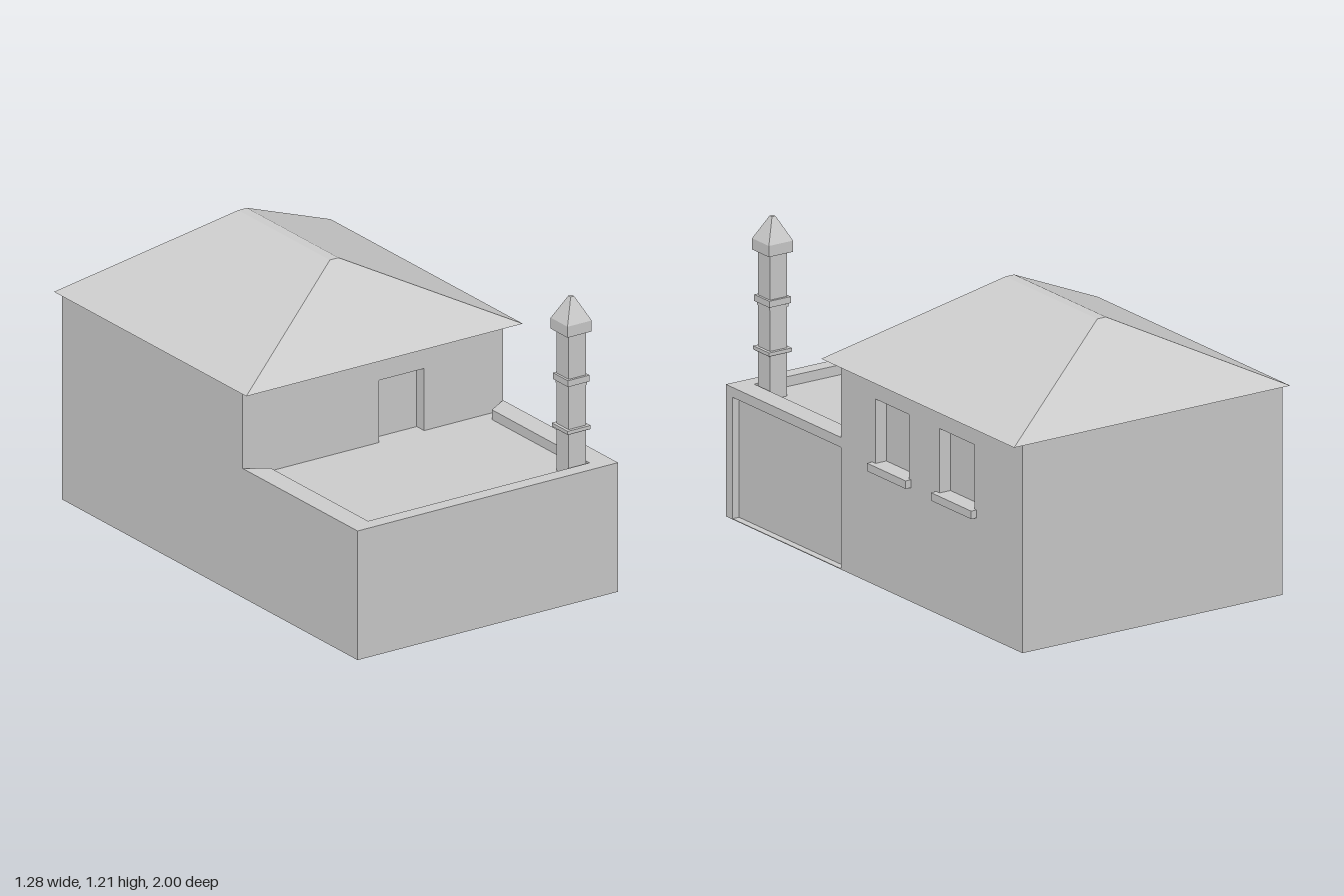
import * as THREE from 'three';

const material = new THREE.MeshStandardMaterial({ color: 0xcccccc, flatShading: true });

function add(parent, name, geometry) {
  const mesh = new THREE.Mesh(geometry, material);
  mesh.name = name;
  parent.add(mesh);
  return mesh;
}

// Box given by its limits on each axis
function block(parent, name, x0, x1, y0, y1, z0, z1) {
  const g = new THREE.BoxGeometry(x1 - x0, y1 - y0, z1 - z0);
  g.translate((x0 + x1) / 2, (y0 + y1) / 2, (z0 + z1) / 2);
  return add(parent, name, g);
}

// Solid lofted through rectangles [y, x0, x1, z0, z1], bottom to top
function loft(rings) {
  const pos = [], idx = [];
  for (const [y, x0, x1, z0, z1] of rings) {
    pos.push(x0, y, z1, x1, y, z1, x1, y, z0, x0, y, z0);
  }
  for (let r = 0; r < rings.length - 1; r++) {
    for (let i = 0; i < 4; i++) {
      const a = r * 4 + i, b = r * 4 + (i + 1) % 4;
      idx.push(a, b, b + 4, a, b + 4, a + 4);
    }
  }
  const t = (rings.length - 1) * 4;
  idx.push(0, 2, 1, 0, 3, 2, t, t + 1, t + 2, t, t + 2, t + 3);
  const indexed = new THREE.BufferGeometry();
  indexed.setAttribute('position', new THREE.Float32BufferAttribute(pos, 3));
  indexed.setIndex(idx);
  const g = indexed.toNonIndexed();
  g.computeVertexNormals();
  return g;
}

const outline = (points) => points.map(([x, y]) => new THREE.Vector2(x, y));
const rect = (x0, x1, y0, y1) => outline([[x0, y0], [x1, y0], [x1, y1], [x0, y1]]);

function extrude(points, holes, depth) {
  const shape = new THREE.Shape(points);
  for (const h of holes) shape.holes.push(new THREE.Path(h));
  return new THREE.ExtrudeGeometry(shape, { depth, bevelEnabled: false });
}

export function createModel() {
  const model = new THREE.Group();
  model.name = 'house';

  // Main house: core plus pierced outer walls, so openings are recessed
  const house = new THREE.Group();
  house.name = 'mainHouse';
  model.add(house);
  const depth = 0.05;
  block(house, 'houseCore', -0.625, 0.53, 0, 0.845, -0.97, 0.185);

  const front = extrude(rect(-0.625, 0.53, 0, 0.845), [rect(0.005, 0.215, 0.49, 0.745)], depth);
  front.translate(0, 0, 0.185);
  add(house, 'frontWallWithDoorway', front);

  const windows = [[-0.005, 0.215], [0.42, 0.65]]; // measured along -z
  const side = extrude(rect(-0.235, 0.97, 0, 0.845),
    windows.map(([a, b]) => rect(a, b, 0.475, 0.748)), depth);
  side.rotateY(Math.PI / 2);
  side.translate(0.53, 0, 0);
  add(house, 'sideWallWithWindows', side);
  for (const [a, b] of windows) {
    block(house, 'windowSill', 0.53, 0.605, 0.458, 0.49, -b - 0.015, -a + 0.022);
  }

  // Hipped roof with a narrow flat ridge
  add(model, 'roof', loft([
    [0.845, -0.64, 0.64, -1, 0.28],
    [1.148, -0.02, 0.02, -0.665, -0.055],
  ]));

  // Front wing with a recessed panel on its side
  const wing = new THREE.Group();
  wing.name = 'frontWing';
  model.add(wing);
  block(wing, 'terraceBase', -0.625, 0.55, 0, 0.49, 0.235, 1);
  block(wing, 'cornerPost', 0.55, 0.58, 0, 0.49, 0.955, 1);
  block(wing, 'recessFloor', 0.55, 0.58, 0, 0.003, 0.235, 0.955);

  // Parapet around three sides of the terrace
  const parapet = extrude(outline([
    [-0.625, -1], [0.58, -1], [0.58, -0.235], [0.49, -0.29],
    [0.49, -0.94], [-0.535, -0.94], [-0.535, -0.29], [-0.625, -0.235],
  ]), [], 0.04);
  parapet.rotateX(-Math.PI / 2);
  parapet.translate(0, 0.49, 0);
  add(wing, 'parapet', parapet);

  // Square chimney: [y, half width] sections
  const chimney = new THREE.Group();
  chimney.name = 'chimney';
  chimney.position.set(0.44, 0, 0.89);
  model.add(chimney);
  const parts = {
    chimneyShaft: [[0.49, 0.04], [1.08, 0.04]],
    lowerBand: [[0.668, 0.051], [0.672, 0.053], [0.684, 0.053]],
    upperBand: [[0.85, 0.043], [0.861, 0.043], [0.864, 0.05], [0.89, 0.05]],
    chimneyCap: [[1.07, 0.056], [1.115, 0.056], [1.21, 0.008]],
  };
  for (const [name, sections] of Object.entries(parts)) {
    add(chimney, name, loft(sections.map(([y, h]) => [y, -h, h, -h, h])));
  }

  return model;
}
